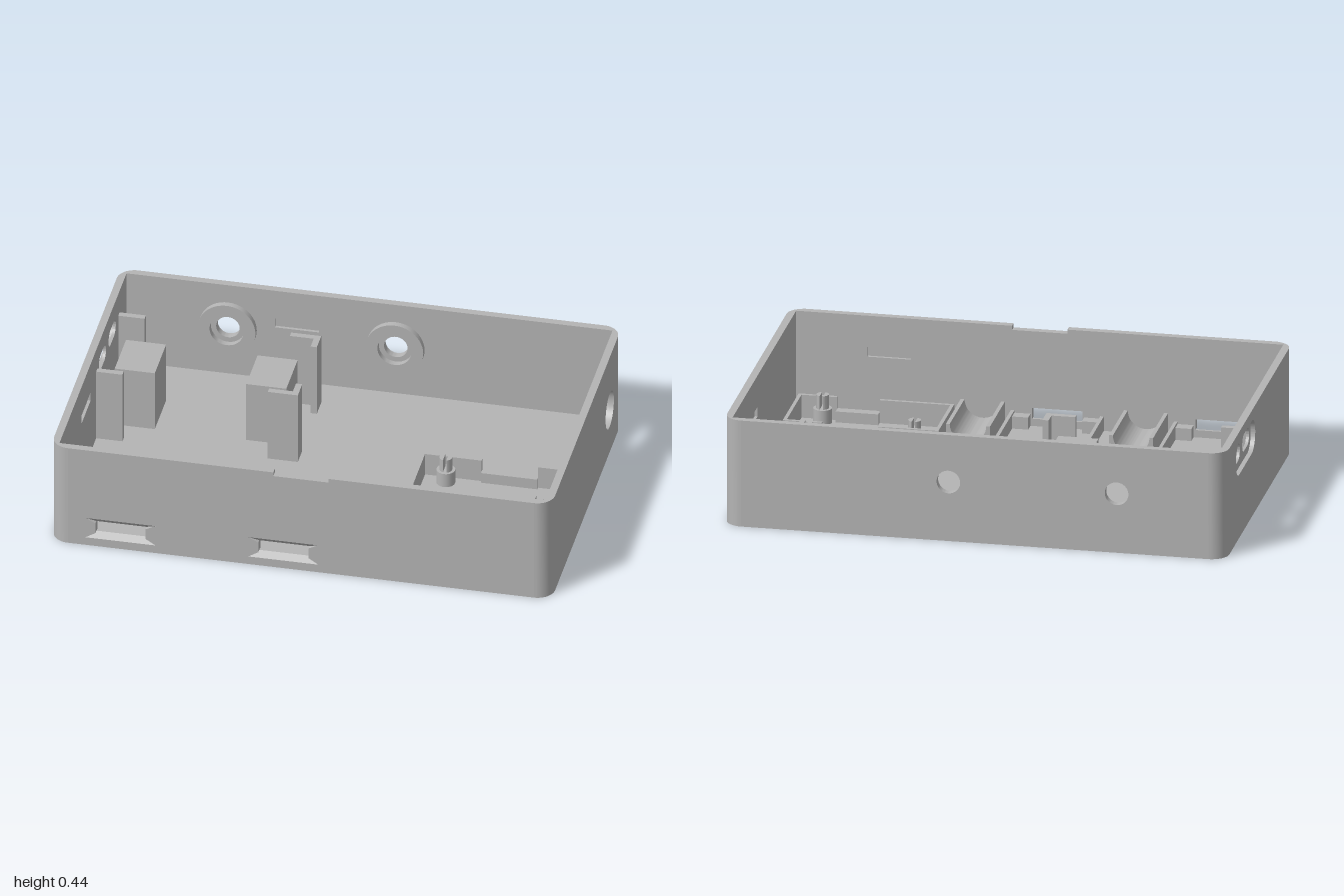
import * as THREE from 'three';
import { toCreasedNormals } from 'three/addons/utils/BufferGeometryUtils.js';

const H = 0.44, T = 0.03, SKIN = 0.012, R = 0.07, FLOOR = 0.03;

const poly = (pts) => new THREE.Shape(pts.map(([x, y]) => new THREE.Vector2(x, y)));
const rect = (x, y, w, h) => poly([[x - w / 2, y - h / 2], [x + w / 2, y - h / 2], [x + w / 2, y + h / 2], [x - w / 2, y + h / 2]]);
const disc = (x, y, r) => new THREE.Shape().absarc(x, y, r, 0, Math.PI * 2, false);
function stadium(x, y, w, h) {
  const r = h / 2, d = w / 2 - r;
  const s = new THREE.Shape();
  s.absarc(x + d, y, r, -Math.PI / 2, Math.PI / 2, false);
  s.absarc(x - d, y, r, Math.PI / 2, Math.PI * 1.5, false);
  return s;
}
// Flared port outline: wide at the top and bottom, narrow in the middle
const bowtie = (x) => poly([[x - 0.14, 0.035], [x + 0.14, 0.035], [x + 0.1, 0.06], [x + 0.1, 0.105],
  [x + 0.14, 0.125], [x - 0.14, 0.125], [x - 0.1, 0.105], [x - 0.1, 0.06]]);

export function createModel() {
  const root = new THREE.Group();
  root.name = 'electronicsEnclosure';
  const grey = new THREE.MeshStandardMaterial({ color: 0xb4b4b4 });
  grey.name = 'grey plastic';
  const greyThin = grey;
  greyThin.side = THREE.DoubleSide;

  function add(parent, name, geometry, x = 0, y = 0, z = 0) {
    const m = new THREE.Mesh(geometry, grey);
    m.name = name;
    m.position.set(x, y, z);
    parent.add(m);
    return m;
  }
  function extrude(shape, depth, holes = []) {
    shape.holes.push(...holes);
    return toCreasedNormals(new THREE.ExtrudeGeometry(shape, { depth, bevelEnabled: false, curveSegments: 24 }), 0.6);
  }
  // Upright box given by its extents
  function block(parent, name, x0, x1, z0, z1, top, bottom = FLOOR - 0.002) {
    return add(parent, name, new THREE.BoxGeometry(x1 - x0, top - bottom, z1 - z0),
      (x0 + x1) / 2, (top + bottom) / 2, (z0 + z1) / 2);
  }

  // Floor
  block(root, 'floor', -0.97, 0.97, -0.62, 0.62, FLOOR, 0);

  // Walls: an inner skin and an outer layer, each with its own openings
  function wall(name, half, inner, angle, innerHoles, outerHoles, notch = false) {
    const g = new THREE.Group();
    g.name = name;
    g.rotation.y = angle;
    const outline = () => poly([[-half, 0], [half, 0], [half, H],
      ...(notch ? [[0.11, H], [0.11, H - 0.017], [-0.11, H - 0.017], [-0.11, H]] : []), [-half, H]]);
    add(g, name + 'Inside', extrude(outline(), SKIN, innerHoles), 0, 0, inner);
    add(g, name + 'Outside', extrude(outline(), T - SKIN, outerHoles), 0, 0, inner + SKIN);
    root.add(g);
    return g;
  }
  const lidSlot = (u) => rect(u, 0.29, 0.175, 0.04);
  const ports = [-0.72, -0.07], bosses = [0.565, -0.105], slots = [-0.355, -0.175];

  const front = wall('frontWall', 1 - R, 0.62, 0,
    [lidSlot(0.6), ...ports.map((x) => rect(x, 0.0825, 0.2, 0.045))], ports.map(bowtie), true);
  wall('rightHandWall', 0.65 - R, 0.97, Math.PI / 2, [lidSlot(0.22), disc(0.43, 0.195, 0.077)], [disc(0.43, 0.195, 0.077)]);
  const back = wall('backWall', 1 - R, 0.62, Math.PI,
    [lidSlot(0.29), ...bosses.map((u) => disc(u, 0.245, 0.047))], bosses.map((u) => disc(u, 0.245, 0.047)));
  wall('leftHandWall', 0.65 - R, 0.97, -Math.PI / 2,
    [lidSlot(0.13), ...slots.map((u) => stadium(u, 0.33, 0.135, 0.07))], [stadium(-0.265, 0.33, 0.38, 0.135)]);

  // Sloped lips of the front ports
  for (const x of ports) {
    for (const [yo, yi] of [[0.125, 0.105], [0.035, 0.06]]) {
      const g = new THREE.BufferGeometry();
      g.setAttribute('position', new THREE.Float32BufferAttribute([
        x - 0.14, yo, 0.65, x + 0.14, yo, 0.65, x + 0.1, yi, 0.632, x - 0.1, yi, 0.632], 3));
      g.setIndex(yo > yi ? [0, 2, 1, 0, 3, 2] : [0, 1, 2, 0, 2, 3]);
      g.computeVertexNormals();
      add(front, 'portLip', g);
    }
  }
  // Raised rings around the back holes
  for (const u of bosses) add(back, 'jackRing', extrude(disc(u, 0.245, 0.115), 0.026, [disc(u, 0.245, 0.068)]), 0, 0, 0.595);

  // Rounded outer corners with square insides
  for (const sx of [1, -1]) for (const sz of [1, -1]) {
    const pts = [];
    for (let i = 0; i <= 12; i++) {
      const a = (i / 12) * Math.PI / 2;
      pts.push([sx * (1 - R + R * Math.cos(a)), -sz * (0.65 - R + R * Math.sin(a))]);
    }
    pts.push([sx * (1 - R), -sz * 0.62], [sx * 0.97, -sz * 0.62], [sx * 0.97, -sz * (0.65 - R)]);
    add(root, 'corner', extrude(poly(pts), H)).rotation.x = -Math.PI / 2;
  }

  // Tall board holder: two support blocks and four corner guides
  const holder = new THREE.Group();
  holder.name = 'tallBoardHolder';
  root.add(holder);
  block(holder, 'supportBlock', -0.92, -0.76, -0.38, -0.17, 0.29);
  block(holder, 'supportBlock', -0.395, -0.235, -0.38, -0.17, 0.29);
  for (const s of [-1, 1]) {
    const c = -0.275, zs = (a, b) => (s > 0 ? [c + a, c + b] : [c - b, c - a]);
    block(holder, 'sideGuide', -0.97, -0.865, ...zs(0.192, 0.217), 0.34);
    block(holder, 'cornerGuide', -0.285, -0.165, ...zs(0.192, 0.217), 0.34);
    block(holder, 'cornerGuide', -0.19, -0.165, ...zs(0.135, 0.192), 0.34);
  }

  // Port trays with corner pads, each beside a cylinder cradle
  for (const x of ports) {
    const tray = new THREE.Group();
    tray.name = 'portTray';
    root.add(tray);
    const l = x - 0.185, r = x + 0.185;
    block(tray, 'trayBack', l, r, 0.28, 0.294, 0.09);
    block(tray, 'traySide', l, l + 0.014, 0.294, 0.62, 0.09);
    block(tray, 'traySide', r - 0.014, r, 0.294, 0.62, 0.09);
    for (const z of [0.294, 0.575]) {
      block(tray, 'pad', l + 0.014, l + 0.078, z, z + 0.045, 0.08);
      block(tray, 'pad', r - 0.078, r - 0.014, z, z + 0.045, 0.08);
    }
    const s = new THREE.Shape();
    s.moveTo(-0.0875, FLOOR - 0.002);
    s.lineTo(0.0875, FLOOR - 0.002);
    s.lineTo(0.0875, 0.14);
    s.lineTo(0.0725, 0.14);
    s.absarc(0, 0.14, 0.0725, 0, -Math.PI, true);
    s.lineTo(-0.0875, 0.14);
    add(root, 'cylinderCradle', extrude(s, 0.29), x + 0.287, 0, 0.282);
  }

  // Two board trays with stepped walls and split mounting pins
  for (const z of [-0.09, 0.235]) {
    const tray = new THREE.Group();
    tray.name = 'boardTray';
    root.add(tray);
    const x0 = 0.325, x1 = 0.945, z1 = z + 0.312, t = 0.014;
    block(tray, 'traySide', x0, x0 + t, z, z1, 0.125);
    block(tray, 'traySide', x1 - t, x1, z, z1, 0.125);
    block(tray, 'trayBack', x0 + t, 0.565, z, z + t, 0.125);
    block(tray, 'trayBackLow', 0.565, 0.79, z, z + 0.026, 0.075);
    block(tray, 'trayBack', 0.79, x1 - t, z, z + t, 0.125);
    block(tray, 'trayFront', x0 + t, 0.62, z1 - t, z1, 0.125);
    block(tray, 'trayFrontLow', 0.62, 0.79, z1 - 0.04, z1, 0.075);
    block(tray, 'trayFront', 0.79, x1 - t, z1 - t, z1, 0.125);
    for (const [px, pz] of [[0.43, z + 0.05], [0.84, z + 0.264]]) {
      add(tray, 'pinBase', new THREE.CylinderGeometry(0.037, 0.037, 0.062, 24), px, 0.059, pz);
      for (const s of [0, 1]) {
        const half = new THREE.Shape().absarc(0, 0, 0.025, -1.3, 1.3, false);
        const pin = add(tray, 'splitPin', extrude(half, 0.058), px, 0.088, pz);
        pin.rotation.set(-Math.PI / 2, 0, s * Math.PI);
      }
    }
  }
  return root;
}
